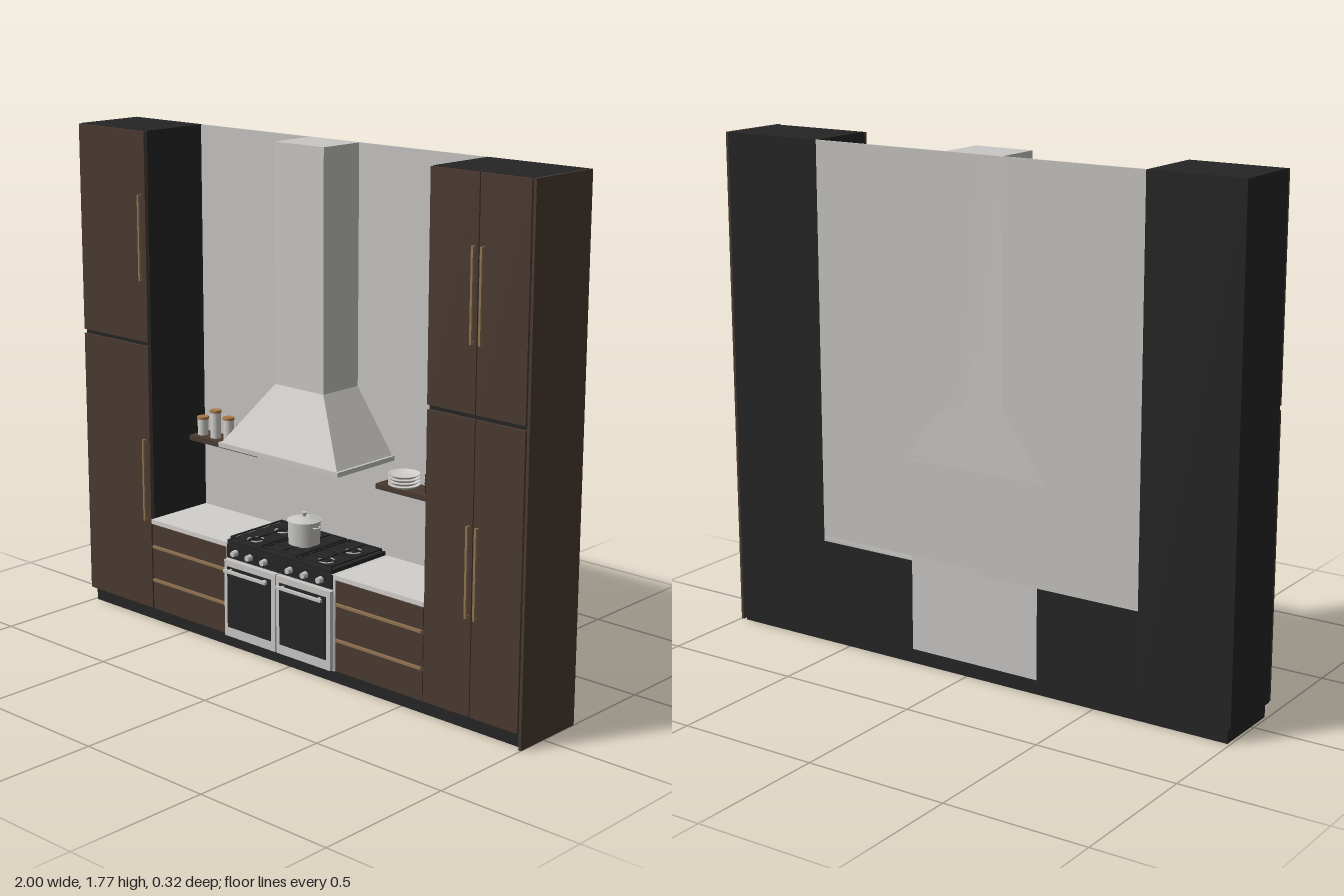
import * as THREE from 'three';

const mat = (name, color, extra = {}) => Object.assign(new THREE.MeshStandardMaterial({ color, ...extra }), { name });

export function createModel() {
  const wood = mat('dark wood', 0x4a3a31);
  const black = mat('black', 0x252525);
  const wall = mat('wall grey', 0xc5c3c0);
  const steel = mat('steel', 0xc8c7c5);
  const bronze = mat('bronze', 0x8f7350);
  const lidWood = mat('light wood', 0xa87a48);
  const white = mat('ceramic', 0xd2d0cc);

  const root = new THREE.Group();
  root.name = 'kitchenWall';
  const add = (name, geo, m, parent = root) => {
    const mesh = new THREE.Mesh(geo, m);
    mesh.name = name;
    parent.add(mesh);
    return mesh;
  };
  // box given by its limits on each axis
  const box = (name, m, x0, x1, y0, y1, z0, z1, parent) => {
    const mesh = add(name, new THREE.BoxGeometry(x1 - x0, y1 - y0, z1 - z0), m, parent);
    mesh.position.set((x0 + x1) / 2, (y0 + y1) / 2, (z0 + z1) / 2);
    return mesh;
  };
  const cyl = (name, m, r0, r1, h, x, y, z, parent, seg = 24) => {
    const mesh = add(name, new THREE.CylinderGeometry(r1, r0, h, seg), m, parent);
    mesh.position.set(x, y + h / 2, z);
    return mesh;
  };
  const group = (name, x = 0, y = 0, z = 0) => {
    const g = new THREE.Group();
    g.name = name;
    g.position.set(x, y, z);
    root.add(g);
    return g;
  };
  const BACK = -0.16, FRONT = 0.115, H = 1.77;

  // plinth, back wall and end panel
  box('plinth', black, -0.99, 0.975, 0, 0.05, BACK, 0.095);
  box('backWall', wall, -0.66, 0.605, 0.37, H, BACK, -0.153);
  box('endPanel', wood, 0.99, 1, 0, H, BACK, FRONT);

  // tall cabinets with doors and bar handles
  const tallCabinet = (name, x0, x1, doors, handles) => {
    const g = group(name);
    box('carcass', black, x0, x1, 0.05, H, BACK, 0.103, g);
    for (const [a, b] of doors)
      for (const [y0, y1] of [[0.052, 1.017], [1.033, H - 0.002]])
        box('door', wood, a, b, y0, y1, 0.103, FRONT, g);
    for (const x of handles)
      for (const y of [0.38, 1.25]) {
        box('handle', bronze, x - 0.004, x + 0.004, y, y + 0.3, 0.123, 0.13, g);
        for (const yy of [y, y + 0.292])
          box('handlePost', bronze, x - 0.004, x + 0.004, yy, yy + 0.008, FRONT, 0.124, g);
      }
  };
  tallCabinet('rightTallCabinet', -1, -0.66, [[-0.999, -0.664]], [-0.685]);
  tallCabinet('leftTallCabinet', 0.605, 0.99, [[0.605, 0.793], [0.797, 0.984]], [0.78, 0.814]);

  // drawer units with worktops
  for (const [x0, x1] of [[-0.66, -0.28], [0.225, 0.605]]) {
    const g = group('drawerUnit');
    box('carcass', black, x0, x1, 0.05, 0.37, BACK, 0.1, g);
    for (const [y0, y1] of [[0.052, 0.155], [0.168, 0.28], [0.293, 0.368]])
      box('drawerFront', wood, x0 + 0.003, x1 - 0.003, y0, y1, 0.1, FRONT, g);
    for (const y of [0.157, 0.282])
      box('drawerPull', bronze, x0 + 0.005, x1 - 0.008, y, y + 0.009, 0.1, 0.12, g);
    box('worktop', white, x0, x1, 0.372, 0.388, BACK, 0.118, g);
  }

  // range cooker
  const range = group('rangeCooker');
  box('body', steel, -0.28, 0.225, 0.05, 0.388, BACK, 0.117, range);
  box('controlPanel', black, -0.272, 0.218, 0.338, 0.386, 0.117, 0.124, range);
  box('cooktop', black, -0.27, 0.212, 0.388, 0.402, -0.15, 0.122, range);
  for (const [x0, x1] of [[-0.275, -0.033], [-0.027, 0.22]]) {
    box('ovenDoor', steel, x0, x1, 0.055, 0.332, 0.117, 0.134, range);
    box('ovenWindow', black, x0 + 0.017, x1 - 0.018, 0.09, 0.31, 0.134, 0.137, range);
    box('ovenHandle', steel, x0 + 0.02, x1 - 0.022, 0.296, 0.306, 0.15, 0.16, range);
    for (const x of [x0 + 0.035, x1 - 0.045])
      box('ovenHandlePost', steel, x, x + 0.008, 0.297, 0.305, 0.134, 0.152, range);
  }
  for (const x of [-0.227, -0.158, -0.088, 0.03, 0.1, 0.17]) {
    const knob = cyl('knob', steel, 0.012, 0.01, 0.02, x, 0, 0, range, 20);
    knob.rotation.x = Math.PI / 2;
    knob.position.set(x, 0.362, 0.133);
  }
  // burners and pan grates
  for (const [x, z] of [[-0.195, -0.075], [-0.195, 0.06], [-0.03, -0.01], [0.135, -0.075], [0.135, 0.06]]) {
    cyl('burner', black, 0.02, 0.018, 0.006, x, 0.402, z, range);
    const ring = add('burnerRing', new THREE.TorusGeometry(0.027, 0.0025, 6, 28), steel, range);
    ring.rotation.x = Math.PI / 2;
    ring.position.set(x, 0.404, z);
  }
  for (const cx of [-0.19, -0.03, 0.13]) {
    for (const d of [-0.072, 0, 0.072])
      box('grateBar', black, cx + d - 0.003, cx + d + 0.003, 0.408, 0.413, -0.14, 0.112, range);
    for (const z of [-0.138, -0.075, -0.01, 0.06, 0.11])
      box('grateCrossBar', black, cx - 0.075, cx + 0.075, 0.408, 0.413, z - 0.003, z + 0.003, range);
    for (const dx of [-0.072, 0.072])
      for (const z of [-0.138, 0.11])
        box('grateFoot', black, cx + dx - 0.003, cx + dx + 0.003, 0.402, 0.41, z - 0.003, z + 0.003, range);
  }

  // extractor hood: lip, tapered canopy, chimney
  const hood = group('extractorHood');
  box('hoodLip', steel, -0.305, 0.245, 0.727, 0.743, BACK, 0.127, hood);
  box('hoodFilter', black, -0.24, 0.18, 0.72, 0.727, -0.12, 0.09, hood);
  const canopy = new THREE.BoxGeometry(1, 1, 1);
  const p = canopy.attributes.position;
  for (let i = 0; i < p.count; i++) {
    const top = p.getY(i) > 0, right = p.getX(i) > 0, front = p.getZ(i) > 0;
    p.setXYZ(i,
      -0.03 + (right ? 1 : -1) * (top ? 0.11 : 0.265),
      top ? 0.955 : 0.743,
      front ? (top ? 0.017 : 0.12) : BACK);
  }
  canopy.computeVertexNormals();
  add('hoodCanopy', canopy, steel, hood);
  box('hoodChimney', steel, -0.14, 0.08, 0.955, H, BACK, 0.017, hood);

  // cooking pot
  const pot = group('cookingPot', -0.032, 0.413, -0.01);
  cyl('potBody', steel, 0.054, 0.056, 0.078, 0, 0, 0, pot, 32);
  cyl('potRim', steel, 0.059, 0.059, 0.004, 0, 0.078, 0, pot, 32);
  cyl('potLid', steel, 0.056, 0.02, 0.012, 0, 0.082, 0, pot, 32);
  cyl('lidKnob', steel, 0.006, 0.01, 0.014, 0, 0.094, 0, pot, 16);
  for (const s of [-1, 1]) {
    const h = add('potHandle', new THREE.TorusGeometry(0.014, 0.003, 8, 16, Math.PI), steel, pot);
    h.rotation.set(Math.PI / 2, 0, -s * Math.PI / 2);
    h.position.set(s * 0.055, 0.064, 0);
  }

  // wall shelves
  box('rightShelf', wood, -0.645, -0.305, 0.65, 0.668, -0.153, -0.06);
  box('leftShelf', wood, 0.245, 0.583, 0.65, 0.668, -0.153, -0.06);

  // storage jars
  const tops = [0.735, 0.77, 0.755, 0.735, 0.735];
  tops.forEach((top, i) => {
    const jar = group('storageJar', -0.615 + i * 0.0655, 0.668, -0.1);
    const h = top - 0.668;
    cyl('jarBody', white, 0.019, 0.019, h - 0.009, 0, 0, 0, jar);
    cyl('jarLid', lidWood, 0.021, 0.021, 0.009, 0, h - 0.009, 0, jar);
  });

  // stacked crockery
  const stack = (name, m, x, r, n, step) => {
    const g = group(name, x, 0.668, -0.097);
    const pts = [[0, 0], [r * 0.72, 0], [r, step * 0.8], [r, step], [r * 0.93, step], [r * 0.7, step * 0.4], [0, step * 0.4]]
      .map(([a, b]) => new THREE.Vector2(a, b));
    for (let i = 0; i < n; i++)
      add('dish', new THREE.LatheGeometry(pts, 32), m, g).position.y = i * step;
  };
  stack('whitePlates', white, 0.337, 0.054, 4, 0.0115);
  stack('blackBowls', black, 0.476, 0.04, 5, 0.0132);

  return root;
}
